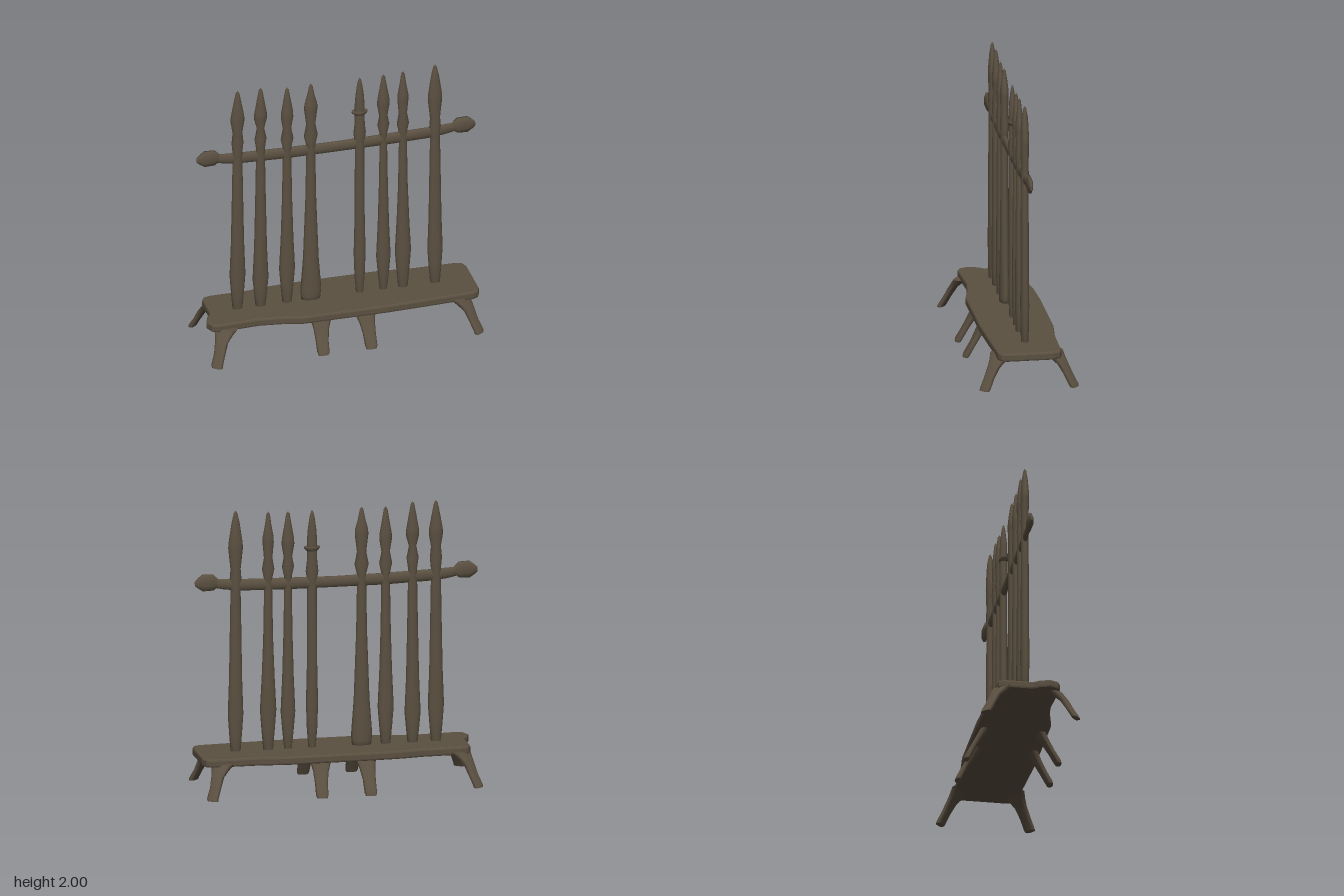
import * as THREE from 'three';
import { mergeVertices } from 'three/addons/utils/BufferGeometryUtils.js';

const wood = new THREE.MeshStandardMaterial({ color: 0x5b5041 });
wood.name = 'dark wood';

// Closed smooth skin through oval rings; each ring has a centre and two half axes
// with u x v pointing along the path. A power below 1 squares the ovals off.
function loft(rings, sides = 12, power = 1) {
  const pos = [], idx = [], last = rings.length - 1;
  const bend = (k) => Math.sign(k) * Math.abs(k) ** power;
  for (const { c, u, v } of rings) {
    for (let i = 0; i < sides; i++) {
      const a = ((i + 0.5) / sides) * Math.PI * 2, s = bend(Math.cos(a)), t = bend(Math.sin(a));
      pos.push(c[0] + u[0] * s + v[0] * t, c[1] + u[1] * s + v[1] * t, c[2] + u[2] * s + v[2] * t);
    }
  }
  for (let r = 0; r < last; r++) {
    for (let i = 0; i < sides; i++) {
      const a = r * sides + i, b = r * sides + (i + 1) % sides;
      idx.push(a, b, a + sides, b, b + sides, a + sides);
    }
  }
  // end caps with their own vertices so the rims stay crisp
  for (const r of [0, last]) {
    const first = pos.length / 3;
    for (let i = 0; i < sides * 3; i++) pos.push(pos[r * sides * 3 + i]);
    for (let i = 1; i < sides - 1; i++) {
      if (r === 0) idx.push(first, first + i + 1, first + i);
      else idx.push(first, first + i, first + i + 1);
    }
  }
  const g = new THREE.BufferGeometry();
  g.setAttribute('position', new THREE.Float32BufferAttribute(pos, 3));
  g.setIndex(idx);
  g.computeVertexNormals();
  return g;
}

// Turned picket from [radius, height] pairs; wide places are flattened more than narrow ones
function picket(x, profile) {
  let g = new THREE.LatheGeometry(profile.map(([r, y]) => new THREE.Vector2(r, y)), 12);
  const p = g.attributes.position;
  for (let i = 0; i < p.count; i++) {
    const r = Math.hypot(p.getX(i), p.getZ(i));
    p.setZ(i, p.getZ(i) * Math.min(0.8, 0.25 + 0.018 / Math.max(r, 0.001)));
  }
  g.deleteAttribute('uv');
  g.deleteAttribute('normal');
  g = mergeVertices(g, 1e-5);
  g.computeVertexNormals();
  g.translate(x, 0, -0.003);
  return g;
}

// Leg leaning out from under the base, rows from foot to top; (dx, dz) is the splay in plan
function leg(rows, [dx, dz]) {
  const n = Math.hypot(dx, dz), ax = dx / n, az = dz / n;
  return loft(rows.map(([x, y, z, w, d]) => ({
    c: [x, y, z], u: [-az * w, 0, ax * w], v: [ax * d, 0, az * d],
  })), 12, 0.65);
}

export function createModel() {
  const model = new THREE.Group();
  const add = (name, geometry) => {
    const mesh = new THREE.Mesh(geometry, wood);
    mesh.name = name;
    model.add(mesh);
  };

  // base plank with an uneven hewn outline (x, z)
  const outline = [
    [-0.91, -0.18], [-0.89, -0.215], [-0.84, -0.226], [-0.57, -0.228], [-0.42, -0.248], [-0.2, -0.257],
    [0.38, -0.257], [0.6, -0.232], [0.92, -0.226], [0.96, -0.21], [0.98, -0.16], [0.98, 0.16],
    [0.965, 0.2], [0.93, 0.22], [0.6, 0.237], [0.3, 0.25], [-0.3, 0.25], [-0.45, 0.215],
    [-0.6, 0.195], [-0.8, 0.205], [-0.9, 0.21], [-0.94, 0.19], [-0.965, 0.13], [-0.94, 0.06], [-0.91, 0.02],
  ];
  const base = new THREE.ExtrudeGeometry(
    new THREE.Shape(outline.map(([x, z]) => new THREE.Vector2(x, -z))),
    { depth: 0.032, bevelThickness: 0.013, bevelSize: 0.012, bevelOffset: -0.012, bevelSegments: 2 });
  base.rotateX(-Math.PI / 2);
  base.translate(0, 0.243, 0);
  add('base', base);

  // pickets: x, foot radius, bulge, shaft radius, knop, neck, head, tip height
  const pickets = [
    [-0.705, 0.034, [0.057, 0.55], 0.036, [0.043, 1.59], [0.035, 1.67], [0.05, 1.76], 2.0],
    [-0.54, 0.034, [0.057, 0.5], 0.033, [0.043, 1.6], [0.026, 1.68], [0.047, 1.76], 2.0],
    [-0.35, 0.032, [0.057, 0.55], 0.031, [0.046, 1.57], [0.03, 1.65], [0.045, 1.74], 1.975],
    [-0.18, 0.066, [0.075, 0.36], 0.033, [0.05, 1.57], [0.033, 1.66], [0.048, 1.78], 1.98],
    [0.34, 0.025, [0.052, 0.55], 0.027, [0.043, 1.58], [0.03, 1.65], [0.045, 1.74], 1.975],
    [0.48, 0.033, [0.058, 0.57], 0.029, [0.044, 1.57], [0.03, 1.65], [0.04, 1.76], 1.98],
    [0.71, 0.034, [0.055, 0.55], 0.036, [0.042, 1.51], [0.036, 1.58], [0.052, 1.73], 2.0],
  ];
  for (const [x, foot, bulge, shaft, knop, neck, head, tip] of pickets) {
    const [br, by] = bulge;
    add('picket', picket(x, [
      [0, 0.27], [foot, 0.27], [foot + (br - foot) * 0.55, 0.27 + (by - 0.27) * 0.5], bulge,
      [shaft + (br - shaft) * 0.55, by + 0.25], [shaft + 0.006, 1.08], [shaft, 1.42],
      [shaft, knop[1] - 0.07], knop, neck, head, [head[0] * 0.96, head[1] + 0.04],
      [head[0] * 0.55, tip - 0.09], [0.013, tip - 0.02], [0, tip],
    ]));
  }

  // the collared picket
  add('collaredPicket', picket(0.17, [
    [0, 0.27], [0.025, 0.27], [0.037, 0.42], [0.043, 0.6], [0.037, 0.85], [0.034, 1.42],
    [0.036, 1.48], [0.045, 1.54], [0.037, 1.61], [0.036, 1.69], [0.036, 1.76],
    [0.03, 1.84], [0.017, 1.93], [0.007, 1.965], [0, 1.975],
  ]));
  add('collar', picket(0.17, [
    [0.02, 1.68], [0.04, 1.686], [0.058, 1.707], [0.056, 1.716], [0.02, 1.71],
  ]));

  // slightly sagging top rail
  const alongX = ([x, y, ry, rz]) => ({ c: [x, y, -0.004], u: [0, ry, 0], v: [0, 0, rz] });
  add('rail', loft([
    [-0.88, 1.49, 0.03, 0.014], [-0.8, 1.478, 0.037, 0.016], [-0.7, 1.469, 0.041, 0.019],
    [-0.35, 1.459, 0.042, 0.02], [0, 1.457, 0.039, 0.02], [0.35, 1.461, 0.042, 0.02],
    [0.7, 1.469, 0.041, 0.019], [0.8, 1.48, 0.037, 0.016], [0.88, 1.49, 0.03, 0.014],
  ].map(alongX)));

  // faceted rail knobs
  for (const s of [-1, 1]) {
    const rings = [
      [0.838, 1.493, 0.032, 0.014], [0.868, 1.495, 0.06, 0.021], [0.942, 1.495, 0.063, 0.022],
      [0.978, 1.493, 0.036, 0.015], [0.997, 1.492, 0.018, 0.008],
    ].map(([x, ...rest]) => alongX([s * x, ...rest]));
    add('railKnob', loft(s > 0 ? rings : rings.reverse(), 8));
  }

  // splayed legs: corners and middle pairs
  for (const sz of [-1, 1]) {
    const foot = sz > 0 ? 0.015 : 0.002;
    for (const sx of [-1, 1]) {
      add('cornerLeg', leg([
        [0.938, 0.018, 0.315, 0.039, 0.02], [0.936, 0.035, 0.308, 0.041, 0.022],
        [0.91, 0.1, 0.277, 0.04, 0.021], [0.887, 0.17, 0.242, 0.046, 0.025],
        [0.863, 0.21, 0.212, 0.062, 0.034], [0.838, 0.25, 0.183, 0.084, 0.042],
      ].map(([x, y, z, w, d]) => [sx * x, y, sz * z, w, d]), [sx * 0.65, sz * 0.76]));
      add('middleLeg', leg([
        [0.165, foot, 0.323, 0.037, 0.02], [0.165, foot + 0.02, 0.315, 0.043, 0.023],
        [0.163, 0.1, 0.277, 0.045, 0.021], [0.158, 0.17, 0.238, 0.054, 0.023],
        [0.154, 0.21, 0.213, 0.066, 0.028], [0.15, 0.25, 0.19, 0.082, 0.034],
      ].map(([x, y, z, w, d]) => [sx * (sx < 0 ? x + 0.013 : x), y, sz * z, w, d]), [0, sz]));
    }
  }
  return model;
}
